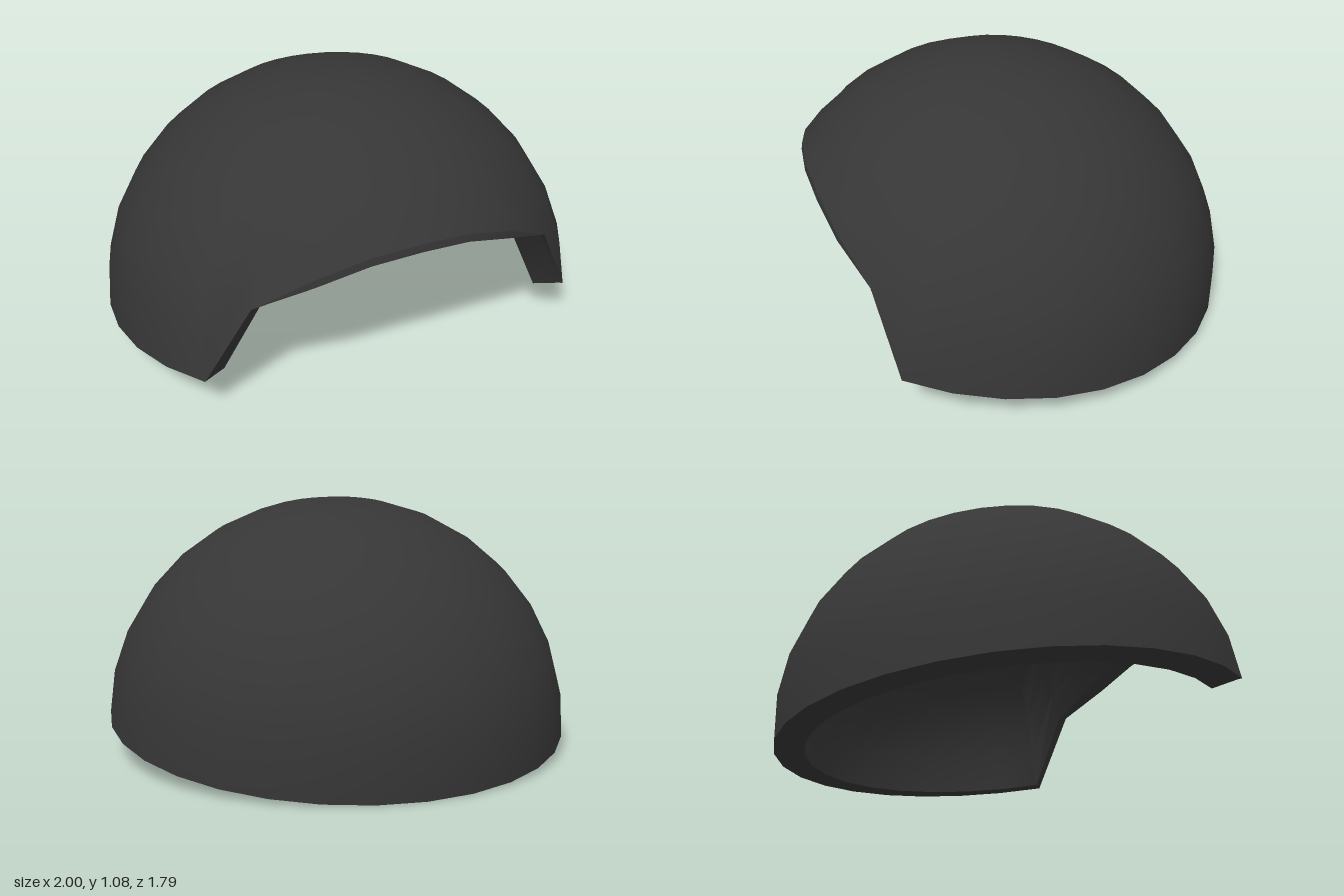
import * as THREE from 'three';
import { toCreasedNormals } from 'three/addons/utils/BufferGeometryUtils.js';

const RAD = Math.PI / 180;
const INNER = 0.875, SQUASH = 0.96, ROWS = 8;

// Half of the opening's edge: [azimuth from the front, elevation], in degrees
const OPENING = [[0, 31.5], [13.6, 30.5], [27.5, 26.6], [42, 19.5], [53.4, 0]];

// One column per azimuth, denser rule for the opening, even steps round the back
const half = OPENING.map(([az, el]) => ({ az, el }));
for (let i = 1; i <= 11; i++) half.push({ az: 53.4 + (126.6 * i) / 11, el: 0 });
const columns = [...half.slice(1).reverse().map(({ az, el }) => ({ az: -az, el })), ...half];

// Point on a squashed sphere
function point(az, el, r) {
  const a = az * RAD, e = el * RAD;
  return [r * Math.cos(e) * Math.sin(a), r * SQUASH * Math.sin(e), r * Math.cos(e) * Math.cos(a)];
}

// Skin a list of columns, each a row of points, with soft normals and sharp creases
function loft(section) {
  const grid = columns.map(section), pos = [];
  for (let i = 0; i < grid.length - 1; i++) {
    for (let j = 0; j < grid[i].length - 1; j++) {
      const a = grid[i][j], b = grid[i + 1][j], c = grid[i + 1][j + 1], d = grid[i][j + 1];
      pos.push(...a, ...b, ...c, ...a, ...c, ...d);
    }
  }
  const g = new THREE.BufferGeometry();
  g.setAttribute('position', new THREE.Float32BufferAttribute(pos, 3));
  return toCreasedNormals(g, 35 * RAD);
}

// Column of points from the edge up to the crown
function rise(az, from, r) {
  return Array.from({ length: ROWS + 1 }, (_, j) => point(az, from + ((90 - from) * j) / ROWS, r));
}

const innerEl = (el) => (el > 0 ? el + 1 : -0.8);

export function createModel() {
  const group = new THREE.Group();
  group.name = 'domeShell';
  const charcoal = new THREE.MeshStandardMaterial({ color: 0x363636 });
  charcoal.name = 'charcoal';

  const add = (name, section) => {
    const mesh = new THREE.Mesh(loft(section), charcoal);
    mesh.name = name;
    shell.add(mesh);
  };

  // Whole shell leans back so the front opening lifts
  const shell = new THREE.Group();
  shell.name = 'tiltedShell';
  shell.rotation.x = -7 * RAD;
  shell.position.set(0, 0.12, 0.11);
  group.add(shell);

  add('outerShell', ({ az, el }) => rise(az, el, 1));
  add('innerShell', ({ az, el }) => rise(az, innerEl(el), INNER).reverse());

  // Thickness of the shell, with a small bevel along the brow
  add('rimEdge', ({ az, el }) => {
    const bevel = 1.7 * Math.min(1, Math.max(0, (42 - Math.abs(az)) / 14));
    return [point(az, innerEl(el), INNER), point(az, el - bevel, 0.985), point(az, el, 1)];
  });

  return group;
}
